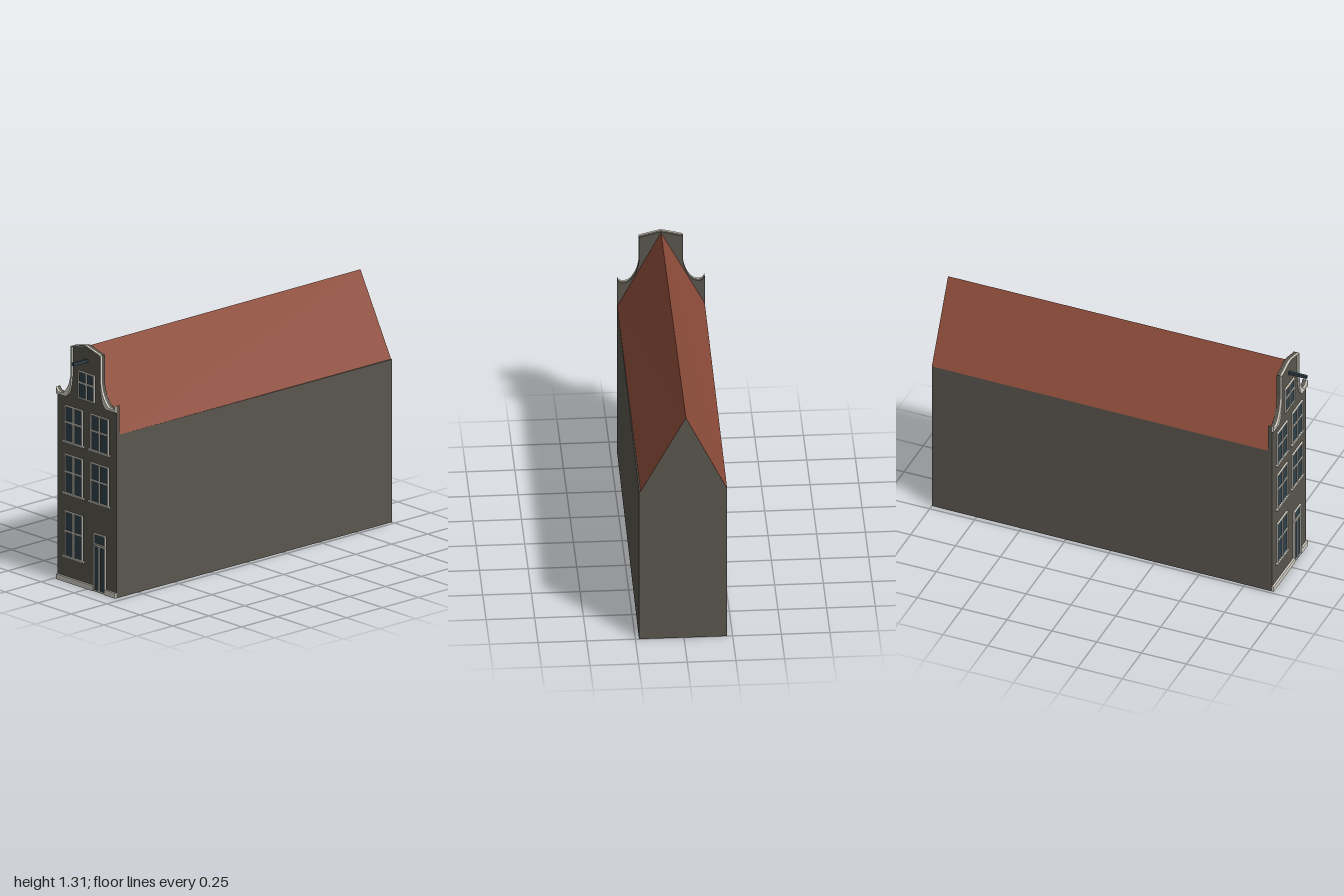
import * as THREE from 'three';

const flat = (name, color) => Object.assign(new THREE.MeshStandardMaterial({ color }), { name });
const CX = -0.01;      // centre line of the facade
const FRONT = 0.9;     // front plane of the facade

export function createModel() {
  const wall = flat('dark brick', 0x5a564e);
  const roofTile = flat('red roof tile', 0x8f4d3a);
  const stone = flat('pale stone', 0xd4d1c6);
  const glass = flat('dark blue glass', 0x30404a);

  const house = new THREE.Group();
  house.name = 'canalHouse';

  const add = (name, geometry, material, parent = house) => {
    const mesh = new THREE.Mesh(geometry, material);
    mesh.name = name;
    parent.add(mesh);
    return mesh;
  };
  // Box given by its limits
  const block = (name, x0, x1, y0, y1, z0, z1, material, parent) =>
    add(name, new THREE.BoxGeometry(x1 - x0, y1 - y0, z1 - z0), material, parent)
      .position.set((x0 + x1) / 2, (y0 + y1) / 2, (z0 + z1) / 2);
  const plate = (name, shape, z0, z1, material, parent) => {
    const g = new THREE.ExtrudeGeometry(shape, { depth: z1 - z0, bevelEnabled: false });
    add(name, g.translate(0, 0, z0), material, parent);
  };
  const rect = (x0, x1, y0, y1) => [[x0, y0], [x1, y0], [x1, y1], [x0, y1]]
    .map(([x, y]) => new THREE.Vector2(x, y));

  // Slightly skewed body: outlines at the front and back joined into walls and roof
  const zF = 0.88, zB = -1, eave = 0.877, ridge = 1.305;
  const front = [[-0.235, 0], [0.215, 0], [0.215, eave], [0.215, eave], [CX, ridge], [-0.235, eave]]
    .map(([x, y]) => [x, y, zF]);
  const back = [[-0.222, 0], [0.231, 0], [0.231, eave], [0.223, eave], [CX, ridge], [-0.222, eave]]
    .map(([x, y]) => [x, y, zB]);
  const loft = (edges, caps) => {
    const p = [];
    for (const i of edges) {
      const j = (i + 1) % 6;
      p.push(front[i], back[i], back[j], front[i], back[j], front[j]);
    }
    if (caps) for (const [a, b, c] of [[3, 4, 5], [3, 5, 0], [3, 0, 1], [3, 1, 2]]) {
      p.push(back[a], back[c], back[b], front[a], front[b], front[c]);
    }
    const g = new THREE.BufferGeometry();
    g.setAttribute('position', new THREE.Float32BufferAttribute(p.flat(), 3));
    g.computeVertexNormals();
    return g;
  };
  add('walls', loft([0, 1, 2, 5], true), wall);
  add('roof', loft([3, 4], false), roofTile);

  // Neck gable: half profiles measured from the centre line, then mirrored
  const curve = (points) => new THREE.SplineCurve(points.map(([x, y]) => new THREE.Vector2(x, y))).getPoints(16);
  const outer = [
    ...curve([[-0.225, 1.036], [-0.214, 1.02], [-0.195, 1.014], [-0.165, 1.022],
      [-0.135, 1.06], [-0.119, 1.105], [-0.113, 1.14]]),
    new THREE.Vector2(-0.113, 1.281), new THREE.Vector2(0, 1.31),
  ];
  const inner = [
    new THREE.Vector2(-0.225, 1.0),
    ...curve([[-0.15, 1.0], [-0.128, 1.025], [-0.112, 1.085], [-0.107, 1.14]]),
    new THREE.Vector2(-0.107, 1.276), new THREE.Vector2(0, 1.304),
  ];
  const mirrored = (half) => {
    const left = half.map((p) => new THREE.Vector2(CX + p.x, p.y));
    const right = half.slice(0, -1).reverse().map((p) => new THREE.Vector2(CX - p.x, p.y));
    return [...left, ...right];
  };
  const base = [new THREE.Vector2(0.215, 0), new THREE.Vector2(-0.235, 0)];
  plate('facade', new THREE.Shape([...mirrored(outer), ...base]), zF, FRONT, wall);
  plate('gableTrim', new THREE.Shape([...mirrored(outer), ...mirrored(inner).reverse()]), FRONT, 0.91, stone);

  // Frame with a grid of panes; xs and ys list the bar centres between the panes
  const framed = (name, x0, x1, y0, y1, xs, ys) => {
    const group = new THREE.Group();
    group.name = name;
    const shape = new THREE.Shape(rect(x0, x1, y0, y1));
    const f = 0.006, b = 0.0045;
    const cols = [x0 + f - b, ...xs, x1 - f + b];
    const rows = [y0 + f - b, ...ys, y1 - f + b];
    for (let i = 0; i + 1 < cols.length; i++) {
      for (let j = 0; j + 1 < rows.length; j++) {
        shape.holes.push(new THREE.Path(rect(cols[i] + b, cols[i + 1] - b, rows[j] + b, rows[j + 1] - b)));
      }
    }
    plate('frame', shape, FRONT, 0.91, stone, group);
    block('panes', x0 + 0.003, x1 - 0.003, y0 + 0.003, y1 - 0.003, FRONT - 0.002, FRONT + 0.004, glass, group);
    house.add(group);
    return group;
  };

  // Windows: left, right, bottom, top, height of the cross bar, has a sill
  const windows = [
    [-0.174, -0.04, 0.755, 0.95, 0.862, true],
    [0.021, 0.157, 0.755, 0.95, 0.862, true],
    [-0.174, -0.04, 0.477, 0.688, 0.595, true],
    [0.021, 0.157, 0.477, 0.688, 0.595, true],
    [-0.174, -0.04, 0.136, 0.382, 0.274, true],
    [-0.071, 0.05, 1.012, 1.16, 1.099, false],
  ];
  for (const [x0, x1, y0, y1, bar, sill] of windows) {
    const group = framed('window', x0, x1, y0, y1, [(x0 + x1) / 2], [bar]);
    if (sill) block('sill', x0 - 0.014, x1 + 0.012, y0 - 0.004, y0 + 0.004, FRONT, 0.914, stone, group);
  }

  // Double door with a light above it
  framed('frontDoor', 0.045, 0.134, 0.002, 0.25, [0.0895], []);
  framed('doorLight', 0.045, 0.134, 0.254, 0.313, [], []);

  // Plinth on both sides of the door
  block('plinthRight', -0.235, 0.045, 0, 0.028, FRONT, 0.911, stone);
  block('plinthLeft', 0.134, 0.215, 0, 0.028, FRONT, 0.911, stone);

  // Hoisting beam
  block('hoistBeam', CX - 0.007, CX + 0.007, 1.219, 1.235, FRONT - 0.005, 1, glass);

  return house;
}
